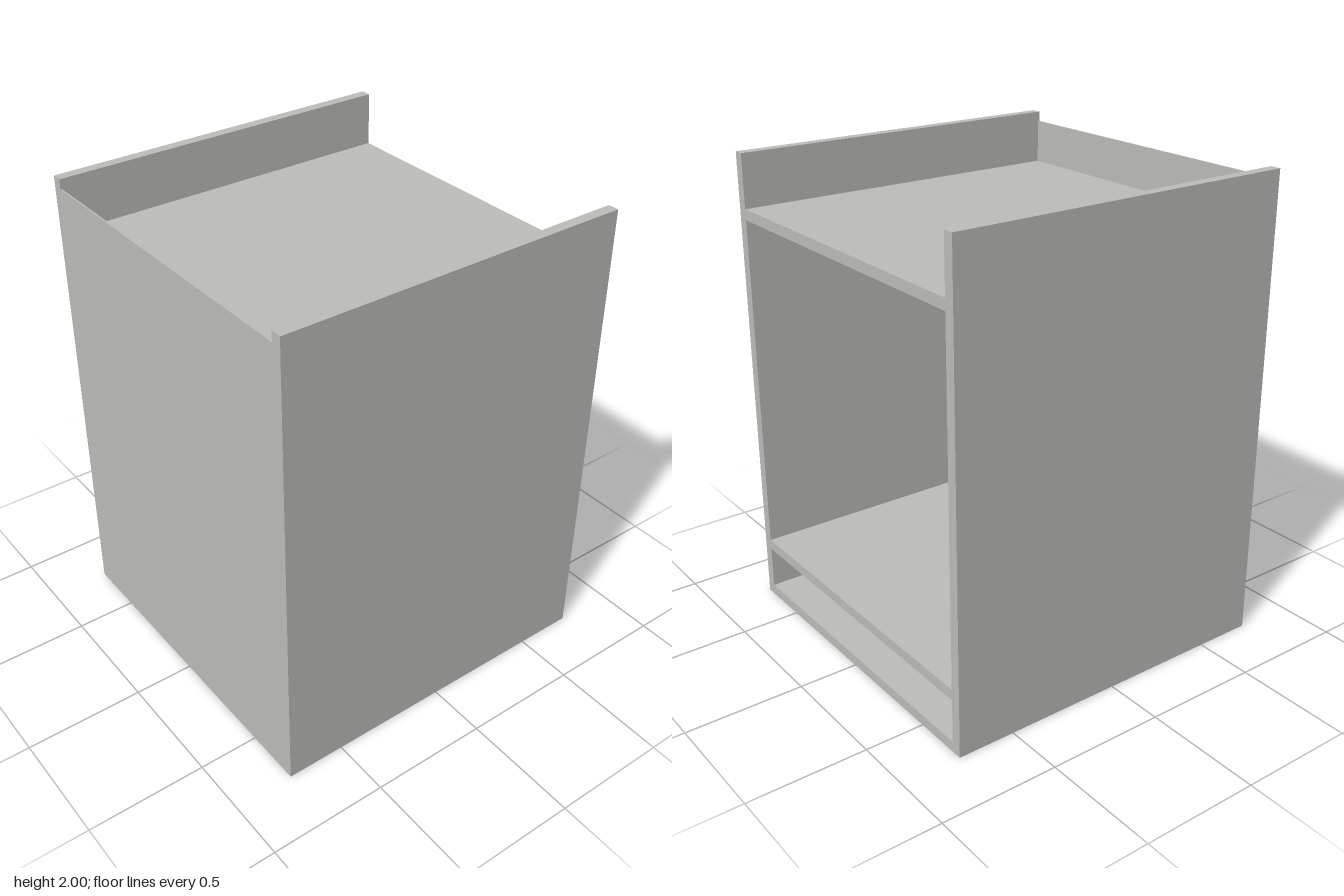
import * as THREE from 'three';

const W = 0.748;      // half width and half depth
const T = 0.045;      // board thickness
const SKIN = 0.007;   // front panel thickness
const IN = W - T;     // inner half width

// U-shaped outline: two sides rising above a middle edge
function outline(middle) {
  return new THREE.Shape([
    [-W, 0], [W, 0], [W, 2], [IN, 2], [IN, middle], [-IN, middle], [-IN, 2], [-W, 2],
  ].map(([x, y]) => new THREE.Vector2(x, y)));
}

function opening(bottom, top) {
  return new THREE.Path([
    [-IN, bottom], [-IN, top], [IN, top], [IN, bottom],
  ].map(([x, y]) => new THREE.Vector2(x, y)));
}

export function createModel() {
  const group = new THREE.Group();
  group.name = 'cabinet';
  const board = new THREE.MeshStandardMaterial({ color: 0xbdbdba });
  board.name = 'light grey board';

  const add = (name, shape, depth, z) => {
    const geometry = new THREE.ExtrudeGeometry(shape, { depth, bevelEnabled: false });
    const mesh = new THREE.Mesh(geometry, board);
    mesh.name = name;
    mesh.position.z = z;
    group.add(mesh);
  };

  // Sides, floor, low shelf and recessed top, open at the back
  const carcass = outline(1.775);
  carcass.holes.push(opening(T, 0.23), opening(0.275, 1.73));
  add('carcass', carcass, 2 * W - SKIN, -W);

  // Thin panel closing the front, slightly lower than the sides
  add('frontPanel', outline(1.958), SKIN, W - SKIN);

  return group;
}
